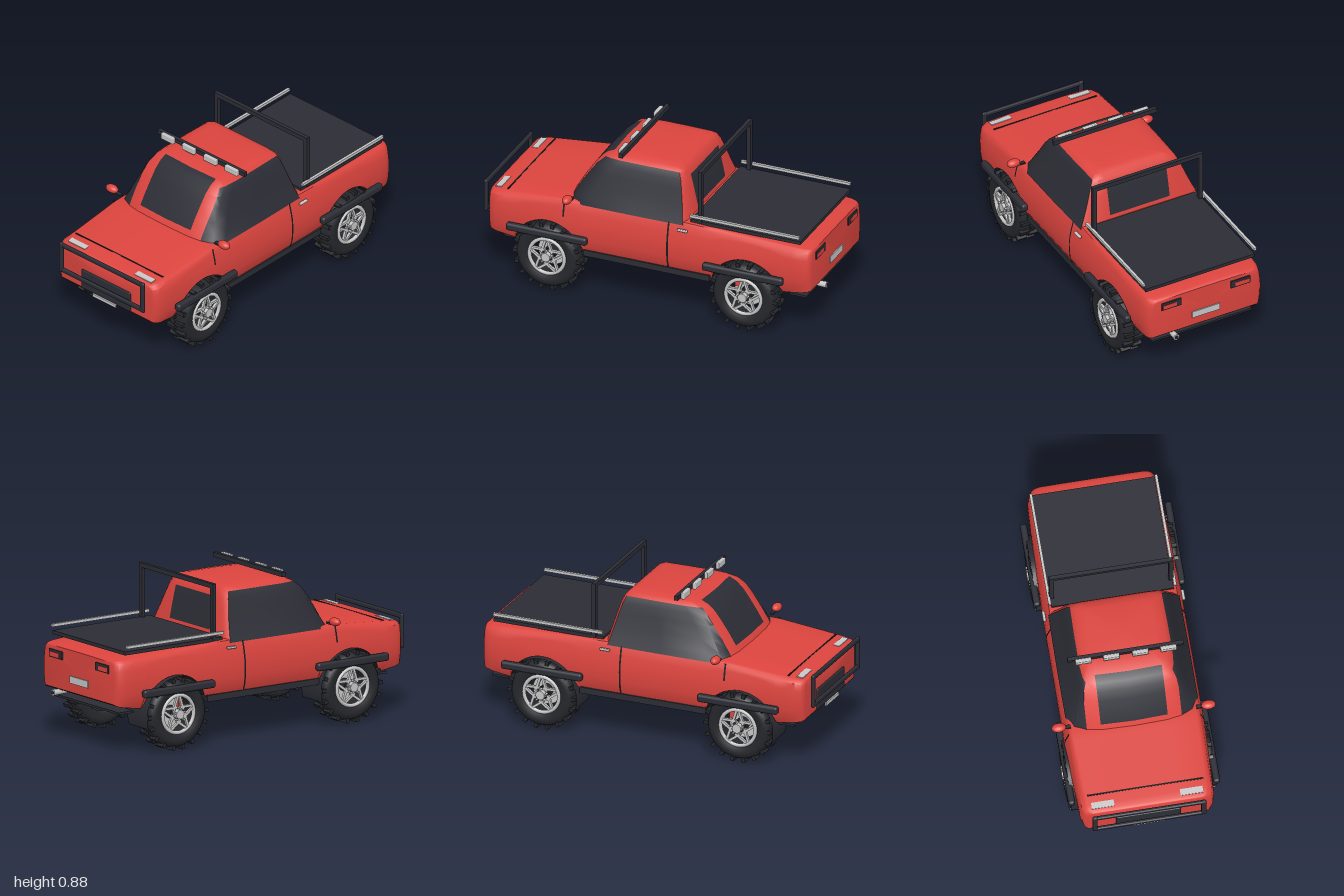
import * as THREE from 'three';
import { toCreasedNormals } from 'three/addons/utils/BufferGeometryUtils.js';
import { RoundedBoxGeometry } from 'three/addons/geometries/RoundedBoxGeometry.js';

const mat = (name, color) => {
  const m = new THREE.MeshStandardMaterial({ color });
  m.name = name;
  return m;
};

export function createModel() {
  const red = mat('paint red', 0xdc443e);
  const trim = mat('dark trim', 0x2c2d35);
  const rubber = mat('tyre rubber', 0x26272c);
  const under = mat('underbody black', 0x1f2024);
  const silver = mat('silver', 0xc6c6c6);
  const seamMat = mat('seam black', 0x1a1a1d);
  seamMat.side = THREE.DoubleSide;
  const root = new THREE.Group();
  root.name = 'pickupTruck';

  const add = (name, geo, material, x = 0, y = 0, z = 0, parent = root) => {
    const m = new THREE.Mesh(geo, material);
    m.name = name;
    m.position.set(x, y, z);
    parent.add(m);
    return m;
  };
  const box = (name, w, h, d, material, x, y, z, parent) =>
    add(name, new THREE.BoxGeometry(w, h, d), material, x, y, z, parent);
  const soft = (name, w, h, d, r, material, x, y, z) =>
    add(name, new RoundedBoxGeometry(w, h, d, 2, r), material, x, y, z);
  const cyl = (r, len, n = 24) => new THREE.CylinderGeometry(r, r, len, n).rotateZ(-Math.PI / 2);
  const lerp = (table, t) => {
    for (let i = 1; i < table.length; i++) {
      const [a, va] = table[i - 1], [b, vb] = table[i];
      if (t <= b) return va + (vb - va) * Math.max(0, (t - a) / (b - a));
    }
    return table[table.length - 1][1];
  };
  // Skin through rows of points; pick() gives the material index of each cell
  const loft = (rows, { pick = () => 0, caps = false, crease = 0.7 } = {}) => {
    const n = rows[0].length, pos = rows.flat(2), cells = [[], []];
    for (let i = 0; i < rows.length - 1; i++)
      for (let j = 0; j < n - 1; j++) {
        const a = i * n + j, c = a + n;
        cells[pick(i, j)].push(a, a + 1, c, a + 1, c + 1, c);
      }
    if (caps) [0, rows.length - 1].forEach((r, e) => {
      const id = pos.length / 3;
      pos.push(0, 0.4, rows[r][0][2]);
      for (let j = 0; j < n; j++) {
        const a = r * n + j, b = r * n + (j + 1) % n;
        cells[0].push(id, e ? a : b, e ? b : a);
      }
    });
    const g = new THREE.BufferGeometry();
    g.setAttribute('position', new THREE.Float32BufferAttribute(pos, 3));
    g.setIndex(cells.flat());
    g.addGroup(0, cells[0].length, 0);
    if (cells[1].length) g.addGroup(cells[0].length, cells[1].length, 1);
    return toCreasedNormals(g, crease);
  };

  // Lower body: sections along z whose lower edge follows the wheel arches
  const axles = [0.58, -0.59], hubY = 0.205, archR = 0.212;
  const topY = z => lerp([[-0.965, 0.53], [-0.23, 0.566], [0.5, 0.555], [0.95, 0.515]], z);
  const width = z => lerp([[-0.965, 0.352], [-0.9, 0.365], [-0.3, 0.385], [0.5, 0.387], [0.9, 0.372], [0.95, 0.36]], z);
  const sideX = (y, z) => width(z) * lerp([[0.25, 0.91], [0.28, 0.965], [0.33, 0.99], [0.4, 1], [0.45, 0.99], [0.5, 0.965], [0.56, 0.925]], y);
  const stations = [[0.95, 0.92], [0.946, 0.96], [0.932, 0.99], [0.9, 1], [0.84, 1], [0.5, 1], [0.2, 1],
    [0, 1], [-0.2, 1], [-0.3, 1], [-0.85, 1], [-0.91, 1], [-0.945, 0.99], [-0.96, 0.96], [-0.965, 0.92]]
    .map(([z, k]) => ({ z, k, arch: 0 }));
  const a0 = Math.asin(0.045 / archR);
  for (const zc of axles) {
    for (let i = 0; i <= 24; i++) {
      const a = a0 + (Math.PI - 2 * a0) * i / 24;
      stations.push({ z: zc + archR * Math.cos(a), k: 1, arch: hubY + archR * Math.sin(a) });
    }
  }
  const inArch = s => !s.arch && axles.some(c => Math.abs(s.z - c) < archR);
  const sections = stations.filter(s => !inArch(s)).sort((p, q) => q.z - p.z).map(({ z, k, arch }) => {
    const yb = Math.max(arch, lerp([[-0.965, 0.28], [-0.8, 0.25], [0.8, 0.25], [0.95, 0.28]], z));
    const yt = topY(z), W = width(z), half = [];
    for (let j = 0; j <= 6; j++) {
      const y = yb + (yt - 0.02 - yb) * j / 6;
      half.push([sideX(y, z), y]);
    }
    half.push([W * 0.915, yt - 0.005], [W * 0.88, yt], [W * 0.5, yt + 0.003], [0, yt + 0.004]);
    const pts = half.map(([x, y]) => [x * k, 0.4 + (y - 0.4) * k, z]);
    return [...pts.map(([x, y, w]) => [-x, y, w]), ...pts.slice(0, -1).reverse()];
  });
  add('body', loft(sections, { caps: true }), [red]);
  add('floorAndWheelTunnels', loft(sections.map(s => [s[s.length - 1], s[0]])), [under]);

  // Cabin: rings from the waist up (y, front z, rear z, half width)
  const levels = [[0.545, 0.505, -0.235, 0.366], [0.59, 0.48, -0.225, 0.345], [0.65, 0.443, -0.212, 0.32],
    [0.72, 0.395, -0.196, 0.294], [0.77, 0.357, -0.183, 0.275], [0.805, 0.318, -0.168, 0.257],
    [0.825, 0.275, -0.148, 0.232], [0.834, 0.2, -0.11, 0.18]];
  const rings = levels.map(([y, f, r, w]) => {
    const g = Math.min(0.185, w * 0.82), p = Math.min(0.262, w * 0.93);
    const half = [[0, f], [g, f - 0.006], [p, f - 0.02], [p + (w - p) * 0.65, f - 0.05], [w, f - 0.12],
      [w, (f + r) / 2 - 0.04], [w - 0.004, r + 0.022], [w - 0.03, r + 0.003], [g, r], [0, r]];
    return [...half.slice(1).reverse().map(([x, z]) => [-x, y, z]), ...half.map(([x, z]) => [x, y, z])];
  });
  rings.push(rings[0].map(() => [0, 0.836, 0.05]));
  const glass = (row, m) => {
    const k = m < 9 ? 8 - m : m - 9;
    if (k === 0) return row >= 1 && row <= 5 ? 1 : 0;
    if (k >= 2 && k <= 5) return row <= 4 ? 1 : 0;
    return k === 8 && row >= 1 && row <= 3 ? 1 : 0;
  };
  add('cabin', loft(rings, { pick: glass }), [red, trim]);

  // Door seams follow the body side
  const seam = (z, y0, y1, s) => {
    const rows = [];
    for (let i = 0; i <= 6; i++) {
      const y = y0 + (y1 - y0) * i / 6, x = s * (sideX(y, z) + 0.003);
      rows.push([[x, y, z - 0.005], [x, y, z + 0.005]]);
    }
    add('doorSeam', loft(rows), seamMat);
  };

  // Wheel: chunky tyre, five spokes, brake; the outer face points to +x
  const profile = [[0.115, -0.052], [0.15, -0.064], [0.176, -0.056], [0.187, -0.035], [0.187, 0.035], [0.176, 0.056],
    [0.15, 0.064], [0.115, 0.055], [0.107, 0.045], [0.107, -0.045], [0.115, -0.052]].map(p => new THREE.Vector2(...p));
  const tyreGeo = new THREE.LatheGeometry(profile, 40).rotateZ(-Math.PI / 2);
  const makeWheel = (caliperZ) => {
    const w = new THREE.Group();
    w.name = 'wheel';
    add('tyre', tyreGeo, rubber, 0, 0, 0, w);
    for (let i = 0; i < 36; i++) {
      const a = i * Math.PI / 18, lug = box('treadLug', 0.058, 0.026, 0.02, rubber,
        i % 2 ? 0.03 : -0.03, 0.189 * Math.cos(a), 0.189 * Math.sin(a), w);
      lug.rotation.x = a;
    }
    add('rimRing', new THREE.TorusGeometry(0.104, 0.011, 8, 40).rotateY(Math.PI / 2), silver, 0.053, 0, 0, w);
    for (let i = 0; i < 5; i++) {
      const a = i * Math.PI * 2 / 5;
      const spoke = new THREE.Group();
      spoke.name = 'spoke';
      spoke.rotation.x = a;
      w.add(spoke);
      for (const s of [-1, 1])
        box('spokeBar', 0.016, 0.086, 0.014, silver, 0.053, 0.062, s * 0.019, spoke).rotation.x = -s * 0.32;
      add('wheelNut', cyl(0.006, 0.02, 8), silver, 0.065, 0.034, 0, spoke);
    }
    add('hubCap', cyl(0.026, 0.04, 20), silver, 0.055, 0, 0, w);
    add('brakeDisc', cyl(0.084, 0.014, 32), silver, -0.03, 0, 0, w);
    add('hub', cyl(0.036, 0.08, 20), rubber, -0.008, 0, 0, w);
    box('brakeCaliper', 0.04, 0.045, 0.03, red, -0.025, 0.045, 0.06 * caliperZ, w);
    return w;
  };

  axles.forEach((z, i) => {
    for (const s of [-1, 1]) {
      const w = makeWheel((i ? 1 : -1) * s);
      w.position.set(s * 0.345, hubY, z);
      if (s < 0) w.rotation.y = Math.PI;
      root.add(w);
      soft('fenderFlare', 0.038, 0.045, 0.48, 0.014, trim, s * 0.4, 0.344, z + (i ? 0.003 : 0));
    }
    // Inner arch liner
    add('archLiner', new THREE.CylinderGeometry(0.208, 0.208, 0.185, 32, 1, true, -0.31, Math.PI + 0.62)
      .rotateZ(Math.PI / 2), trim, -0.3075, hubY, z);
  });

  // Parts mirrored left and right
  for (const s of [-1, 1]) {
    seam(-0.13, 0.27, 0.55, s);
    seam(0.49, 0.46, 0.552, s);
    box('sill', 0.04, 0.036, 0.75, trim, s * 0.352, 0.256, 0);
    add('mirror', new THREE.SphereGeometry(1, 20, 14).scale(0.04, 0.023, 0.026), red, s * 0.413, 0.586, 0.453);
    box('mirrorStem', 0.05, 0.01, 0.02, trim, s * 0.372, 0.571, 0.45);
    soft('doorHandle', 0.018, 0.013, 0.06, 0.005, silver, s * 0.384, 0.525, -0.22);
    box('bedRail', 0.016, 0.016, 0.65, silver, s * 0.346, 0.606, -0.575);
    box('rollBarPost', 0.025, 0.31, 0.022, trim, s * 0.33, 0.725, -0.305);
    box('headlight', 0.125, 0.008, 0.036, silver, s * 0.245, topY(0.907) + 0.001, 0.907).rotation.x = 0.09;
    soft('bullBarSide', 0.028, 0.19, 0.02, 0.008, trim, s * 0.3, 0.45, 0.985);
    box('tailLampFrame', 0.12, 0.045, 0.012, trim, s * 0.215, 0.478, -0.966);
    box('tailLamp', 0.085, 0.024, 0.008, red, s * 0.225, 0.474, -0.97);
    for (const x of [0.08, 0.235]) soft('roofLamp', 0.09, 0.038, 0.022, 0.005, silver, s * x, 0.869, 0.196);
  }

  // Front: bull bar, grille, plate and hood seam
  for (const y of [0.53, 0.37]) soft('bullBarRail', 0.62, 0.026, 0.02, 0.008, trim, 0, y, 0.985);
  soft('grille', 0.36, 0.12, 0.016, 0.007, trim, 0, 0.35, 0.952);
  box('frontPlate', 0.17, 0.018, 0.008, silver, 0, 0.287, 0.964);
  box('hoodSeam', 0.64, 0.006, 0.008, seamMat, 0, topY(0.845) + 0.002, 0.845);
  box('frontSkidPlate', 0.62, 0.012, 0.1, trim, 0, 0.232, 0.825);

  // Roof light bar, roll bar and bed cover
  box('lightBar', 0.64, 0.026, 0.022, trim, 0, 0.869, 0.176);
  box('rollBarTop', 0.685, 0.026, 0.022, trim, 0, 0.87, -0.305);
  box('bedCover', 0.675, 0.02, 0.655, trim, 0, 0.57, -0.575);

  // Rear: plate, skid plate and exhaust
  box('rearPlate', 0.17, 0.04, 0.008, silver, 0, 0.36, -0.967);
  box('rearSkidPlate', 0.62, 0.012, 0.1, trim, 0, 0.232, -0.875);
  box('underTray', 0.66, 0.012, 0.75, under, 0, 0.245, 0);
  const pipe = new THREE.CylinderGeometry(0.018, 0.014, 0.09, 20).rotateX(-Math.PI / 2);
  add('exhaustTip', pipe, silver, 0.2, 0.27, -0.955);
  add('exhaustBore', new THREE.CircleGeometry(0.012, 20).rotateY(Math.PI), under, 0.2, 0.27, -1.001);

  return root;
}
